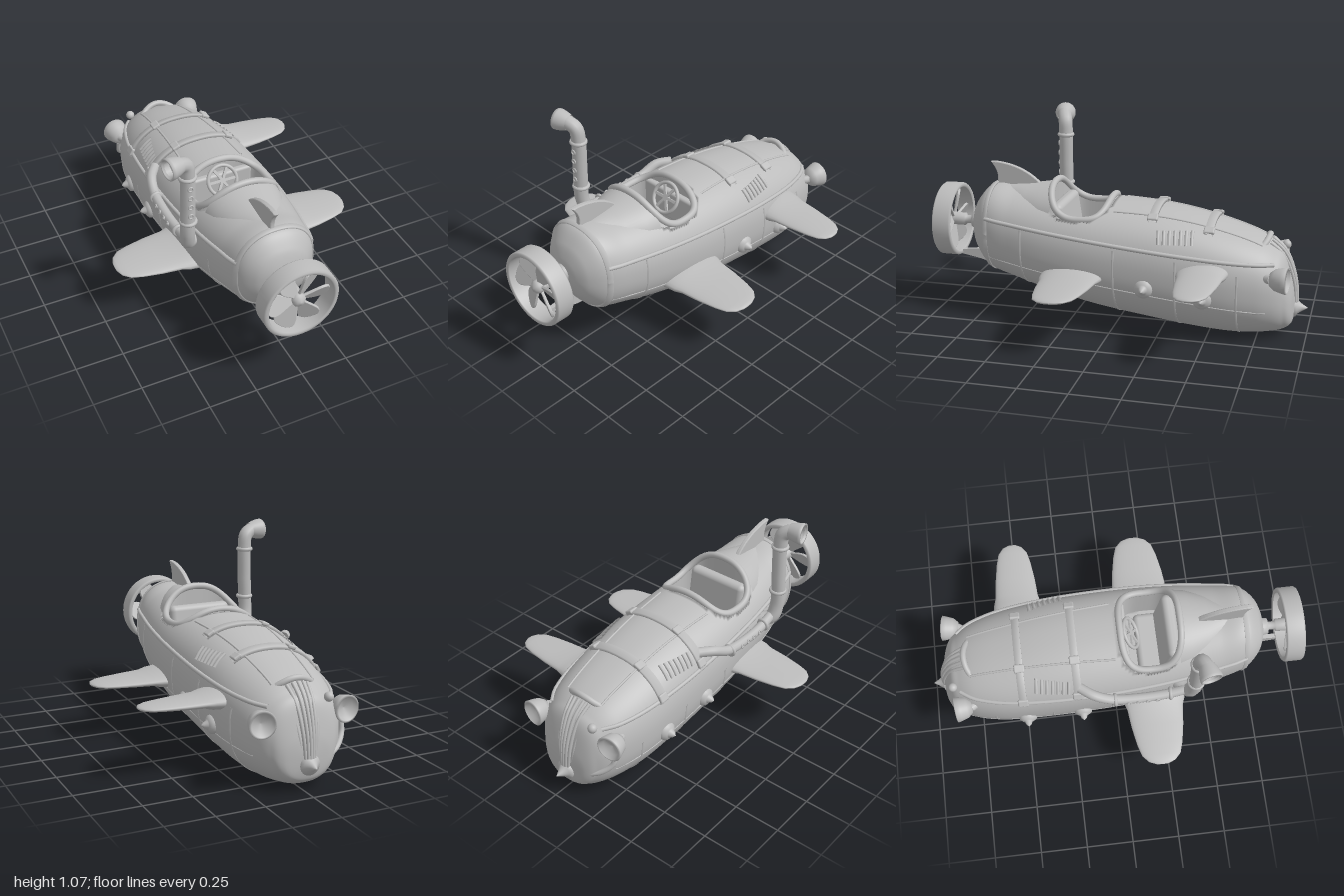
import * as THREE from 'three';
import { RoundedBoxGeometry } from 'three/addons/geometries/RoundedBoxGeometry.js';

const steel = new THREE.MeshStandardMaterial({ color: 0xbcbcbc, side: THREE.DoubleSide });
steel.name = 'steel grey';
const CX = -0.01, POW = 0.87;
const V = (x, y, z) => new THREE.Vector3(x, y, z);
const sp = (v, p) => Math.sign(v) * Math.pow(Math.abs(v), p);
const clamp = v => Math.max(-1, Math.min(1, v));
const range = n => Array.from({ length: n }, (_, i) => i);

// Hull stations: z, top, bottom, half width
const ST = [
  [-0.935, 0.19, 0.11, 0.02], [-0.92, 0.28, 0.06, 0.12], [-0.88, 0.42, 0.03, 0.18], [-0.83, 0.47, 0.018, 0.22],
  [-0.75, 0.515, 0.008, 0.255], [-0.6, 0.565, 0.004, 0.288], [-0.4, 0.615, 0.02, 0.303], [-0.2, 0.645, 0.045, 0.308],
  [0.1, 0.665, 0.09, 0.303], [0.35, 0.68, 0.145, 0.28], [0.55, 0.69, 0.2, 0.245], [0.7, 0.7, 0.25, 0.205],
  [0.77, 0.63, 0.335, 0.145], [0.8, 0.56, 0.41, 0.08], [0.812, 0.495, 0.475, 0.01]];

function section(z) {
  let i = 0;
  while (i < ST.length - 2 && z > ST[i + 1][0]) i++;
  const slope = (k, c) => {
    const a = ST[Math.max(k - 1, 0)], b = ST[Math.min(k + 1, ST.length - 1)];
    return (b[c] - a[c]) / (b[0] - a[0]);
  };
  const d = ST[i + 1][0] - ST[i][0], t = clamp((z - ST[i][0]) / d), t2 = t * t, t3 = t2 * t;
  const [top, bot, w] = [1, 2, 3].map(c => (2 * t3 - 3 * t2 + 1) * ST[i][c] + (t3 - 2 * t2 + t) * d * slope(i, c)
    + (3 * t2 - 2 * t3) * ST[i + 1][c] + (t3 - t2) * d * slope(i + 1, c));
  return { cy: (top + bot) / 2, h: (top - bot) / 2, w };
}
// Point on the hull at station z and angle a, pushed outward by off
function surf(z, a, off = 0) {
  const { cy, h, w } = section(z), c = Math.cos(a), s = Math.sin(a);
  const n = V(c / w, s / h, 0).normalize();
  return V(CX + w * sp(c, POW) + n.x * off, cy + h * sp(s, POW) + n.y * off, z);
}
function atY(z, y, side, off = 0) {
  const { cy, h } = section(z), a = Math.asin(sp(clamp((y - cy) / h), 1 / POW));
  return surf(z, side > 0 ? a : Math.PI - a, off);
}
function atX(z, x, off = 0) {
  return surf(z, Math.acos(sp(clamp((x - CX) / section(z).w), 1 / POW)), off);
}
// Skin a list of equal-length cross-sections
function loft(rings, wrap = true) {
  const n = rings[0].length, idx = [], m = wrap ? n : n - 1;
  for (let i = 0; i < rings.length - 1; i++) for (let j = 0; j < m; j++) {
    const a = i * n + j, b = i * n + (j + 1) % n;
    idx.push(a, b, a + n, b, b + n, a + n);
  }
  const g = new THREE.BufferGeometry().setFromPoints(rings.flat());
  g.setIndex(idx);
  g.computeVertexNormals();
  return g;
}

export function createModel() {
  const root = new THREE.Group();
  root.name = 'submarineCar';
  const add = (name, geo, x = 0, y = 0, z = 0, rx = 0, ry = 0, rz = 0, parent = root) => {
    const m = new THREE.Mesh(geo, steel);
    m.name = name;
    m.position.set(x, y, z);
    m.rotation.set(rx, ry, rz);
    parent.add(m);
    return m;
  };
  const tube = (name, pts, r, closed = false, seg = 48) =>
    add(name, new THREE.TubeGeometry(new THREE.CatmullRomCurve3(pts, closed), seg, r, 12, closed));
  const lathe = (pts, seg = 40) => new THREE.LatheGeometry(pts.map(p => new THREE.Vector2(...p)), seg);

  // Hull, pressed down inside the cockpit opening
  const N = 160, HX = 0.215, HZ = 0.155, CZ = 0.195;
  add('hull', loft(range(N + 1).map(i => {
    const z = -0.0615 - 0.8735 * Math.cos(Math.PI * i / N);
    return range(96).map(j => {
      const p = surf(z, j / 96 * Math.PI * 2);
      const d = Math.abs((p.x - CX) / (HX * 1.03)) ** 3.33 + Math.abs((z - CZ) / (HZ * 1.03)) ** 3.33;
      if (d < 1 && p.y > section(z).cy) p.y = 0.34;
      return p;
    });
  })));

  // Cockpit coaming, rim and inner wall
  const outline = s => range(72).map(j => {
    const a = j / 72 * Math.PI * 2;
    return V(CX + s * HX * sp(Math.cos(a), 0.6), 0, CZ + s * HZ * sp(Math.sin(a), 0.6));
  });
  const rim = outline(1).map(p => {
    const v = (p.z - CZ) / HZ, u = (p.x - CX) / HX;
    p.y = 0.59 + (v < 0 ? 0.085 : 0.15) * v * v - 0.07 * u * u * v * v;
    return p;
  });
  const base = outline(1.2).map(p => V(p.x, atX(p.z, p.x).y - 0.012, p.z));
  const floor = outline(0.97).map(p => V(p.x, 0.335, p.z));
  add('cockpitCoaming', loft([base, rim]));
  add('cockpitWall', loft([rim, floor]));
  tube('cockpitRim', rim, 0.018, true, 120);

  // Headrest fairing and dorsal fin
  add('headrestFairing', loft([[0.335, 0.735, 0.215], [0.4, 0.725, 0.205], [0.5, 0.71, 0.17], [0.6, 0.7, 0.11], [0.69, 0.685, 0.04]]
    .map(([z, top, w]) => range(33).map(j => {
      const a = j / 32 * Math.PI;
      return V(CX + w * Math.cos(a), 0.54 + (top - 0.54) * sp(Math.sin(a), 0.8), z);
    })), false));
  const fs = new THREE.Shape();
  fs.moveTo(0.42, 0.68);
  fs.quadraticCurveTo(0.53, 0.81, 0.715, 0.815);
  fs.quadraticCurveTo(0.655, 0.75, 0.695, 0.66);
  const fin = new THREE.ExtrudeGeometry(fs, { depth: 0.014, bevelSize: 0.005, bevelThickness: 0.006, bevelSegments: 2, curveSegments: 16 });
  add('dorsalFin', fin, CX - 0.007, 0, 0, 0, -Math.PI / 2);

  // Seat and steering wheel
  add('seatBack', new RoundedBoxGeometry(0.35, 0.32, 0.07, 4, 0.03), CX, 0.49, 0.29, 0.15);
  add('seatCushion', new RoundedBoxGeometry(0.34, 0.07, 0.16, 4, 0.03), CX, 0.38, 0.21);
  add('dashboard', new RoundedBoxGeometry(0.36, 0.17, 0.04, 3, 0.015), CX, 0.52, 0.06);
  const wheel = new THREE.Group();
  wheel.name = 'steeringWheel';
  wheel.position.set(CX, 0.58, 0.1);
  wheel.rotation.x = -0.5;
  root.add(wheel);
  add('wheelRim', new THREE.TorusGeometry(0.08, 0.01, 10, 36), 0, 0, 0, 0, 0, 0, wheel);
  for (const k of range(3)) add('wheelSpoke', new THREE.BoxGeometry(0.15, 0.014, 0.01), 0, 0, 0, 0, 0, k * Math.PI / 3, wheel);
  add('wheelColumn', new THREE.CylinderGeometry(0.014, 0.014, 0.12, 12), 0, 0, -0.06, Math.PI / 2, 0, 0, wheel);

  // Bands wrapped around the hull
  const band = (name, z, a0, a1, w, t) => add(name, loft(range(65).map(i => {
    const a = a0 + (a1 - a0) * i / 64;
    return [[-w, -0.004], [-w, t], [w, t], [w, -0.004]].map(([dz, off]) => surf(z + dz / 2, a, off));
  })));
  band('cowlBand', 0.69, 0, Math.PI * 2, 0.025, 0.008);
  for (const z of [0.48, -0.03, -0.35, -0.66]) band('plateSeam', z, -Math.PI, 0.3, 0.01, 0.003);
  for (const z of [-0.21, -0.5]) {
    band('strap', z, 0.95, 2.75, 0.04, 0.016);
    for (const a of [1.05, 1.95, 2.65]) {
      const p = surf(z, a, 0.014);
      add('strapBuckle', new RoundedBoxGeometry(0.045, 0.02, 0.056, 2, 0.008), p.x, p.y, p.z, 0, 0, a - Math.PI / 2);
    }
  }

  // Side rails, seams, vents and bosses on both sides
  for (const s of [1, -1]) {
    tube('sideRail', range(25).map(i => atY(0.69 - i * 0.0633, 0.555 - i * 0.006, s, 0.002)), 0.011);
    tube('lowerSeam', range(20).map(i => atY(0.68 - i * 0.078, 0.34 - i * 0.009, s, -0.002)), 0.005);
    tube('bonnetSeam', range(16).map(i => atX(-i * 0.051, CX + s * (0.155 - i * 0.003))), 0.006);
    for (const i of range(7)) {
      const z = -0.25 - i * 0.028;
      tube('ventSlat', [0.565, 0.535, 0.505].map((y, k) => atY(z - k * 0.004, y, s, 0.002)), 0.009, false, 6);
    }
    for (const [z, y] of [[-0.19, 0.275], [-0.49, 0.24]]) {
      const p = atY(z, y, s, -0.008);
      add('sideBoss', lathe([[0.05, 0], [0.046, 0.018], [0.03, 0.03], [0.022, 0.032], [0.014, 0.05], [0, 0.062]], 24),
        p.x, p.y, p.z, 0, 0, -s * Math.PI / 2);
    }
  }

  // Side fins
  const sideFin = (name, s, z, y, size) => add(name, loft([[0.24, 1.12, 0.055], [0.31, 1.06, 0.045], [0.35, 0.97, 0.032],
    [0.45, 0.9, 0.026], [0.55, 0.78, 0.02], [0.61, 0.66, 0.016], [0.645, 0.45, 0.012], [0.66, 0.2, 0.006], [0.662, 0.01, 0.001]]
    .map(([x, c, t]) => range(28).map(j => {
      const a = j / 28 * Math.PI * 2, q = c * size * Math.cos(a);
      return V(s * x, y + t * Math.sin(a) - q * 0.05, z + q);
    }))));
  sideFin('leftFrontFin', 1, 0.195, 0.3, 0.155);
  sideFin('rightFrontFin', -1, 0.195, 0.3, 0.155);
  sideFin('leftRearFin', 1, -0.485, 0.372, 0.12);

  // Propeller with duct, hub, blades, shaft and bracket
  const prop = new THREE.Group();
  prop.name = 'propeller';
  prop.position.set(-0.022, 0.482, 0.95);
  root.add(prop);
  add('duct', lathe([[0.174, -0.045], [0.18, -0.05], [0.193, -0.05], [0.199, -0.042], [0.199, 0.042], [0.193, 0.05],
    [0.18, 0.05], [0.174, 0.045], [0.174, -0.045]], 64), 0, 0, 0, Math.PI / 2, 0, 0, prop);
  add('hub', lathe([[0.03, -0.06], [0.036, 0], [0.034, 0.02], [0.02, 0.035], [0, 0.04]]), 0, 0, 0, Math.PI / 2, 0, 0, prop);
  const bs = new THREE.Shape();
  bs.moveTo(-0.012, 0.02);
  bs.bezierCurveTo(-0.03, 0.08, -0.075, 0.13, -0.035, 0.158);
  bs.quadraticCurveTo(0, 0.172, 0.035, 0.158);
  bs.bezierCurveTo(0.075, 0.13, 0.03, 0.08, 0.012, 0.02);
  const blade = new THREE.ExtrudeGeometry(bs, { depth: 0.008, bevelSize: 0.003, bevelThickness: 0.003, bevelSegments: 2 });
  blade.translate(0, 0, -0.004).rotateY(0.45);
  for (const k of range(6)) add('blade', blade, 0, 0, 0, 0, 0, Math.PI / 6 + k * Math.PI / 3, prop);
  add('shaft', lathe([[0.06, 0.78], [0.045, 0.815], [0.042, 0.835], [0.022, 0.84], [0.022, 0.875], [0.034, 0.88], [0.034, 0.93]], 24),
    -0.02, 0.482, 0, Math.PI / 2);
  const br = new THREE.Shape([[0.9, 0.31], [0.8, 0.32], [0.68, 0.33], [0.66, 0.24], [0.73, 0.245], [0.8, 0.265], [0.91, 0.285]]
    .map(p => new THREE.Vector2(...p)));
  add('ductBracket', new THREE.ExtrudeGeometry(br, { depth: 0.024, bevelEnabled: false }), -0.008, 0, 0, 0, -Math.PI / 2);

  // Snorkel and the pipe along the right flank
  tube('snorkelPipe', [V(-0.27, 0.47, 0.32), V(-0.325, 0.49, 0.365), V(-0.338, 0.56, 0.39), V(-0.335, 0.75, 0.395), V(-0.335, 0.93, 0.395),
    V(-0.345, 0.99, 0.4), V(-0.385, 1.015, 0.415), V(-0.44, 1.018, 0.427)], 0.038, false, 80);
  add('snorkelMouth', lathe([[0.04, -0.03], [0.05, 0], [0.056, 0.03], [0.056, 0.045], [0.046, 0.045], [0.04, 0.01], [0, 0]]),
    -0.405, 1.016, 0.42, 0, 0.2, Math.PI / 2);
  for (const y of [0.915, 0.645]) add('snorkelCollar', new THREE.TorusGeometry(0.036, 0.011, 10, 28), -0.335, y, 0.395, Math.PI / 2);
  for (const y of [0.865, 0.81, 0.755, 0.7]) add('snorkelRivet', new THREE.TorusGeometry(0.012, 0.004, 8, 16), -0.335, y, 0.433);
  tube('flankPipe', [V(-0.325, 0.5, 0.36), V(-0.335, 0.485, 0.25), V(-0.34, 0.485, 0.1), V(-0.335, 0.5, -0.04), V(-0.315, 0.54, -0.13),
    atX(-0.2, -0.26, 0.01)], 0.026, false, 60);
  for (const z of [0.27, -0.02]) add('pipeCollar', new THREE.TorusGeometry(0.026, 0.01, 10, 24), -0.336, 0.49, z);
  for (const z of [0.2, 0.15, 0.1, 0.05]) add('pipeRivet', new THREE.TorusGeometry(0.01, 0.004, 8, 16), -0.365, 0.49, z, 0, Math.PI / 2);

  // Grille: backing, bars, frame and spike
  const gz = [[0.52, -0.79], [0.44, -0.875], [0.3, -0.93], [0.14, -0.945]];
  const gcurve = new THREE.CatmullRomCurve3(gz.map(([y, z]) => V(0, y, z)));
  const gp = (u, t) => {
    const p = gcurve.getPoint(t);
    return V(-0.015 + u * (0.105 - 0.065 * t), p.y - 0.05 * u * u * (1 - t), p.z + 0.03 * u * u);
  };
  add('grilleBacking', loft(range(17).map(i => range(9).map(j => gp(j / 4 - 1, i / 16))), false));
  for (const k of range(7)) tube('grilleBar', range(9).map(i => gp((k - 3) / 3.7, 0.06 + i * 0.11)), 0.009, false, 24);
  tube('grilleFrame', [...range(9).map(i => gp(-1, 1 - i / 8)), ...range(5).map(i => gp(-0.6 + i * 0.3, -0)),
    ...range(9).map(i => gp(1, i / 8))], 0.016, false, 80);
  add('noseSpike', lathe([[0.05, -0.02], [0.052, 0.015], [0.036, 0.025], [0.018, 0.05], [0, 0.08]], 24), -0.016, 0.135, -0.92, -Math.PI / 2);

  // Headlamps with stalks
  const lamp = lathe([[0, -0.06], [0.035, -0.055], [0.055, -0.03], [0.064, 0.005], [0.069, 0.03], [0.058, 0.035], [0.048, 0.01], [0, 0]]);
  for (const [s, x, z] of [[1, 0.215, -0.875], [-1, -0.25, -0.835]]) {
    add('headlamp', lamp, x, 0.355, z, -Math.PI / 2, 0, -s * 0.12);
    tube('lampStalk', [V(x, 0.355, z + 0.05), V(x - s * 0.03, 0.35, z + 0.09), V(x - s * 0.1, 0.34, z + 0.12)], 0.024, false, 16);
  }
  tube('lampHose', [V(-0.25, 0.3, -0.81), V(-0.245, 0.23, -0.83), V(-0.2, 0.18, -0.87), V(-0.13, 0.15, -0.905)], 0.014, false, 24);
  add('bonnetKnob', new THREE.SphereGeometry(0.024, 16, 12), -0.15, 0.43, -0.865);
  return root;
}
